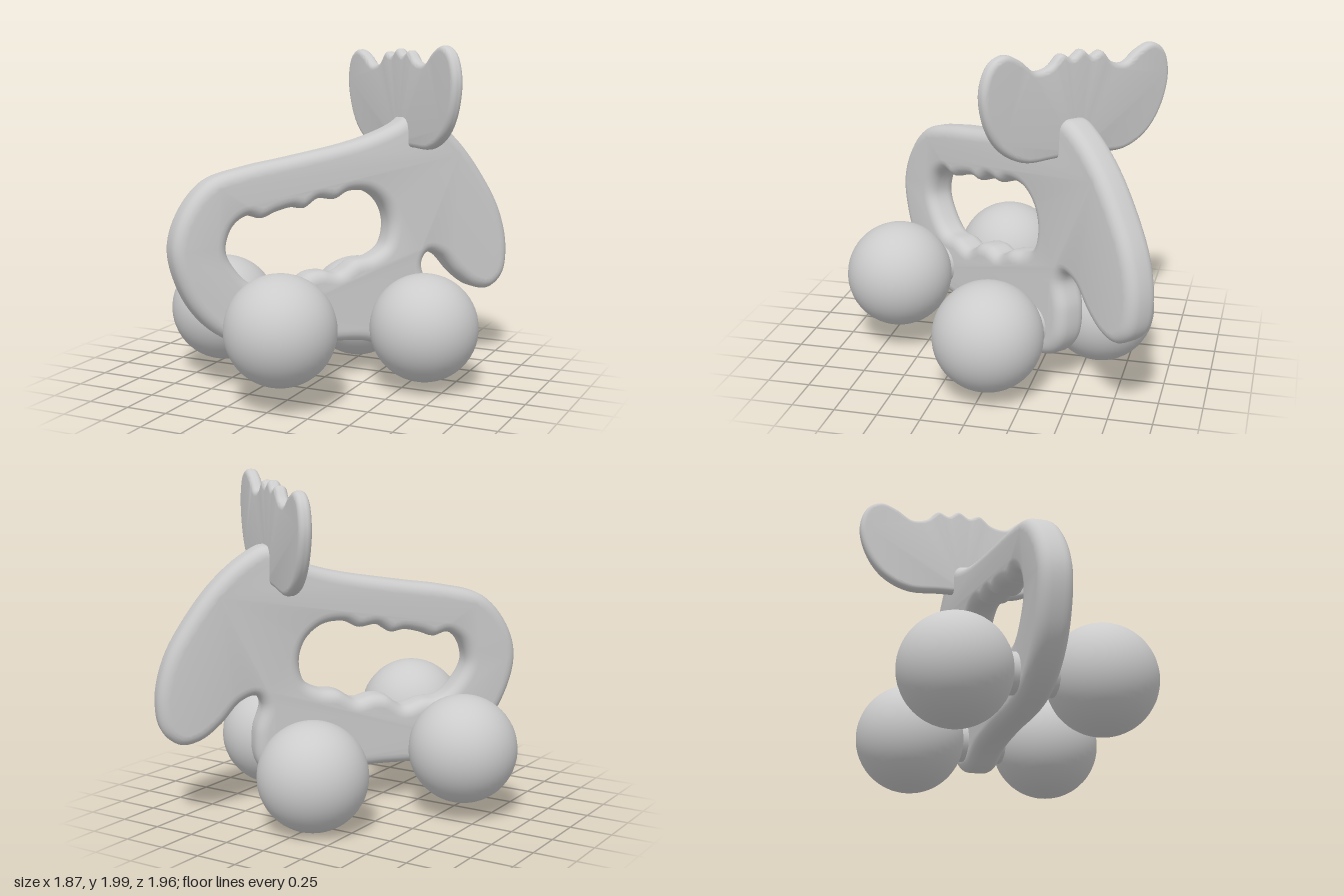
import * as THREE from 'three';
import { toCreasedNormals } from 'three/addons/utils/BufferGeometryUtils.js';

const PIVOT = 0.4; // height the whole toy leans about

// Smooth closed outline through a few points
function outline(points, samples) {
  const curve = new THREE.CatmullRomCurve3(
    points.map(([x, y]) => new THREE.Vector3(x, y - PIVOT, 0)), true, 'centripetal');
  return curve.getPoints(samples).slice(0, -1).map(p => new THREE.Vector2(p.x, p.y));
}

// Plate with rounded edges, centred on its thickness; the hole winds against the rim
function roundedPlate(points, hole, thickness, bevel, samples) {
  const shape = new THREE.Shape(outline(points, samples));
  if (hole) shape.holes.push(new THREE.Path(outline(hole, samples).reverse()));
  const geometry = new THREE.ExtrudeGeometry(shape, {
    depth: thickness - 2 * bevel, steps: 1, bevelEnabled: true, bevelSegments: 5,
    bevelSize: bevel, bevelThickness: bevel, bevelOffset: -bevel,
  });
  geometry.translate(0, 0, -(thickness - 2 * bevel) / 2);
  return toCreasedNormals(geometry, 0.8);
}

export function createModel() {
  const model = new THREE.Group();
  const toy = new THREE.Group();
  toy.name = 'mooseToy';
  model.add(toy);
  const material = new THREE.MeshStandardMaterial({ color: 0xcccccc });
  const add = (name, geometry) => {
    const mesh = new THREE.Mesh(geometry, material);
    mesh.name = name;
    toy.add(mesh);
    return mesh;
  };

  // Body: tail, back, head with drooping muzzle, front leg and belly
  const bodyOutline = [
    [-1.1, 0.85], [-1.04, 1.06], [-0.88, 1.24], [-0.63, 1.31], [-0.37, 1.35],
    [0.08, 1.43], [0.32, 1.51], [0.46, 1.59], [0.58, 1.54], [0.76, 1.39],
    [0.93, 1.17], [1.05, 0.95], [1.1, 0.72], [1.07, 0.54], [0.97, 0.46],
    [0.85, 0.48], [0.73, 0.57], [0.62, 0.69], [0.53, 0.72], [0.49, 0.66],
    [0.53, 0.5], [0.52, 0.32], [0.43, 0.2], [0.28, 0.16], [0.08, 0.22],
    [-0.2, 0.24], [-0.5, 0.24], [-0.7, 0.28], [-0.88, 0.39], [-1.02, 0.57],
  ];
  // Handle opening with finger grips
  const gripHole = [
    [-0.78, 0.84], [-0.74, 0.97], [-0.65, 1.03], [-0.56, 1.01], [-0.47, 1.04],
    [-0.37, 1.06], [-0.29, 1.05], [-0.2, 1.1], [-0.09, 1.09], [0.0, 1.13],
    [0.13, 1.12], [0.23, 1.04], [0.27, 0.92], [0.24, 0.79], [0.15, 0.73],
    [0.03, 0.71], [-0.08, 0.65], [-0.18, 0.67], [-0.27, 0.66], [-0.38, 0.59],
    [-0.5, 0.62], [-0.62, 0.63], [-0.72, 0.72],
  ];
  const body = add('body', roundedPlate(bodyOutline, gripHole, 0.2, 0.065, 180));
  body.rotation.x = 0.02;
  body.position.z = 0.018;

  // Antlers: half outline mirrored across the head
  const half = [
    [0.07, 1.92], [0.14, 1.945], [0.22, 1.88], [0.32, 1.865], [0.42, 1.93],
    [0.52, 1.965], [0.61, 1.92], [0.66, 1.78], [0.62, 1.59], [0.52, 1.45],
    [0.36, 1.37], [0.14, 1.37],
  ];
  const mirrored = half.map(([x, y]) => [-x, y]).reverse();
  const antlers = add('antlers',
    roundedPlate([[0, 1.96], ...half, ...mirrored], null, 0.075, 0.03, 160));
  antlers.position.x = 0.42;
  antlers.rotation.y = -Math.PI / 2;

  // Ball wheels in two pairs, each pair on an axle
  for (const [pair, x, y] of [['rear', -0.615, 0.425], ['front', 0.295, 0.34]]) {
    const axle = add(pair + 'Axle', new THREE.CylinderGeometry(0.12, 0.12, 0.5, 24));
    axle.rotation.x = Math.PI / 2;
    axle.position.set(x, y - PIVOT, 0.015);
    for (const side of [-1, 1]) {
      const wheel = add(pair + (side > 0 ? 'Left' : 'Right') + 'Wheel',
        new THREE.SphereGeometry(0.317, 40, 28));
      wheel.position.set(x, y - PIVOT, 0.015 + side * 0.425);
    }
  }

  // The toy stands diagonally and leans slightly
  toy.rotation.set(-0.06, 0.888, 0, 'YXZ');
  toy.position.set(0.09, PIVOT, -0.09);
  return model;
}
